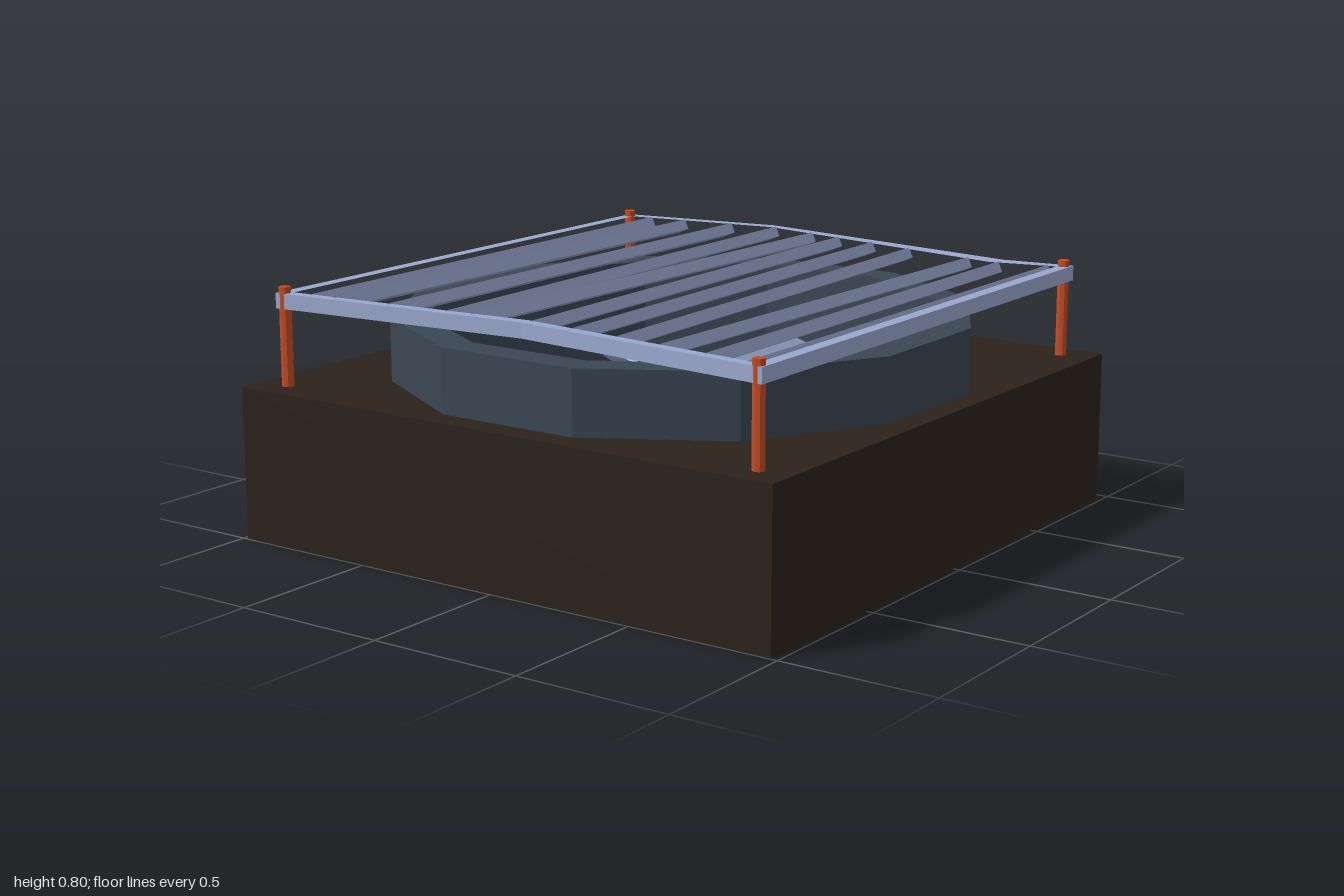
import * as THREE from 'three';

const mat = (color) => new THREE.MeshStandardMaterial({ color, flatShading: true });
const Z0 = 0.017; // centre of the fan and its housing

function polygon(points, Type = THREE.Shape) {
  return new Type(points.map(([x, y]) => new THREE.Vector2(x, y)));
}

// Extrudes an x/z outline upward from height y
function slab(outline, hole, y, height) {
  const flip = (pts) => pts.map(([x, z]) => [x, -z]);
  const shape = polygon(flip(outline));
  if (hole) shape.holes.push(polygon(flip(hole), THREE.Path));
  const geo = new THREE.ExtrudeGeometry(shape, { depth: height, bevelEnabled: false });
  return geo.rotateX(-Math.PI / 2).translate(0, y, 0);
}

// Height of a polyline (list of [x, z]) at x
function zAt(line, x) {
  for (let i = 1; i < line.length; i++) {
    const [x0, z0] = line[i - 1], [x1, z1] = line[i];
    if (x <= x1) return z0 + ((z1 - z0) * (x - x0)) / (x1 - x0);
  }
  return line[line.length - 1][1];
}

export function createModel() {
  const model = new THREE.Group();
  const baseMat = mat(0x2b221b), tubMat = mat(0x3a4653);
  const steelMat = mat(0x9aa8cf), postMat = mat(0xc44d24);
  const add = (name, geo, material, parent = model) => {
    const mesh = new THREE.Mesh(geo, material);
    mesh.name = name;
    parent.add(mesh);
    return mesh;
  };

  // Block base with a twelve-sided opening for the housing
  const square = [[-0.98, -0.96], [0.98, -0.96], [0.98, 1], [-0.98, 1]];
  const opening = [];
  for (let i = 0; i < 12; i++) {
    const a = ((i + 0.5) * Math.PI) / 6;
    opening.push([0.92 * Math.cos(a), Z0 + 0.92 * Math.sin(a)]);
  }
  add('base', slab(square, opening, 0.002, 0.488), baseMat);

  // Twelve-sided open housing with a floor
  const profile = [[0, 0], [0.927, 0], [0.927, 0.692], [0.817, 0.692], [0.817, 0.03], [0, 0.03]]
    .map(([r, y]) => new THREE.Vector2(r, y));
  const tub = new THREE.LatheGeometry(profile, 12).rotateY(Math.PI / 12);
  add('housing', tub, tubMat).position.z = Z0;

  // Fan: open hub and six pitched blades
  const fan = new THREE.Group();
  fan.name = 'fan';
  fan.position.set(0, 0.42, Z0);
  model.add(fan);
  const hub = [[0.06, -0.07], [0.076, -0.07], [0.076, 0.07], [0.06, 0.07], [0.06, -0.07]]
    .map(([r, y]) => new THREE.Vector2(r, y));
  add('hub', new THREE.LatheGeometry(hub, 24), steelMat, fan);
  const half = [[0.07, 0.035], [0.2, 0.05], [0.33, 0.085], [0.45, 0.095], [0.62, 0.08], [0.72, 0.06], [0.75, 0.025]];
  const blade = polygon([...half.map(([x, y]) => [x, -y]), ...half.slice().reverse()]);
  const bladeGeo = new THREE.ExtrudeGeometry(blade, { depth: 0.014, bevelEnabled: false })
    .translate(0, 0, -0.007).rotateX(-Math.PI / 2 + 0.7);
  for (let i = 0; i < 6; i++) {
    add('blade', bladeGeo, steelMat, fan).rotation.y = ((i + 0.5) * Math.PI) / 3;
  }

  // Bent outer frame of the guard
  const guard = new THREE.Group();
  guard.name = 'guard';
  model.add(guard);
  const back = [[-0.895, -0.9], [-0.33, -1], [0.66, -0.865], [0.895, -0.9]];
  const front = [[-0.895, 0.925], [0, 0.838], [0.895, 0.925]];
  const backIn = [[-0.855, -0.868], [-0.32, -0.96], [0.64, -0.802], [0.855, -0.855]];
  const frontIn = [[-0.855, 0.885], [0, 0.8], [0.855, 0.885]];
  const loop = (b, f) => [...b, ...f.slice().reverse()];
  add('guardFrame', slab(loop(back, front), loop(backIn, frontIn), 0.735, 0.048), steelMat, guard);

  // Slightly skewed, rolled guard bars: x at the back, x at the front
  const bars = [[-0.8, -0.8], [-0.67, -0.71], [-0.49, -0.51], [-0.32, -0.3], [-0.15, -0.21], [-0.03, 0],
    [0.12, 0.16], [0.28, 0.33], [0.53, 0.49], [0.65, 0.66], [0.81, 0.81]];
  for (const [xb, xf] of bars) {
    const a = new THREE.Vector3(xb, 0.759, zAt(backIn, xb) - 0.01);
    const b = new THREE.Vector3(xf, 0.759, zAt(frontIn, xf) + 0.01);
    const geo = new THREE.BoxGeometry(0.052, 0.036, a.distanceTo(b)).rotateZ(0.4);
    const bar = add('guardBar', geo, steelMat, guard);
    bar.position.copy(a).lerp(b, 0.5);
    bar.lookAt(b);
  }

  // Corner posts carrying the guard
  const postGeo = new THREE.CylinderGeometry(0.019, 0.019, 0.32, 8);
  for (const x of [-0.873, 0.873]) {
    for (const z of [-0.873, 0.907]) add('post', postGeo, postMat).position.set(x, 0.643, z);
  }
  return model;
}
